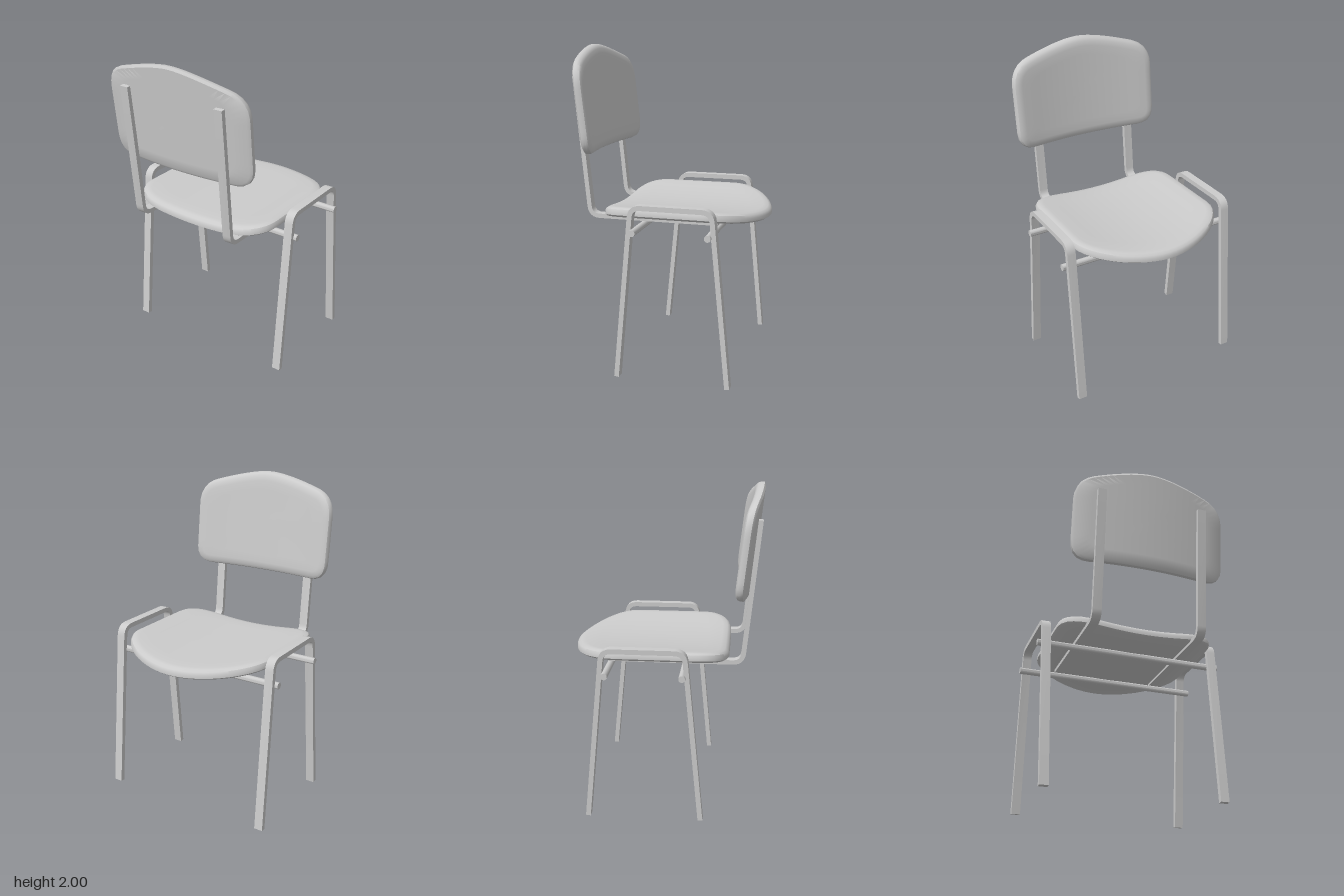
import * as THREE from 'three';
import { toCreasedNormals } from 'three/addons/utils/BufferGeometryUtils.js';

const material = new THREE.MeshStandardMaterial({ color: 0xcccccc });

function addMesh(parent, geometry, name) {
  const mesh = new THREE.Mesh(geometry, material);
  mesh.name = name;
  parent.add(mesh);
  return mesh;
}

// Cushion-like panel: a counterclockwise outline swept through [inset, height]
// rings and closed by shrinking rings, then bent by place(u, v, h).
const PROFILE = [[0.015, 0], [0, 0.01], [0, 0.03], [0.008, 0.047], [0.025, 0.058], [0.055, 0.062]];
const SHRINK = [0.8, 0.6, 0.4, 0.2, 0];

function panelGeometry(shape, place) {
  const outline = shape.getSpacedPoints(72).slice(0, -1);
  const n = outline.length;
  const box = new THREE.Box2().setFromPoints(outline);
  const centre = box.getCenter(new THREE.Vector2());

  const inset = (d) => outline.map((p, i) => {
    const t = outline[(i + 1) % n].clone().sub(outline[(i + n - 1) % n]).normalize();
    return new THREE.Vector2(p.x - t.y * d, p.y + t.x * d);
  });
  const shrink = (ring, s) => ring.map((p) => p.clone().sub(centre).multiplyScalar(s).add(centre));

  const rings = PROFILE.map(([d, h]) => ({ pts: inset(d), h }));
  const bottom = rings[0], top = rings[rings.length - 1];
  const all = [
    ...SHRINK.slice().reverse().map((s) => ({ pts: shrink(bottom.pts, s), h: bottom.h })),
    ...rings,
    ...SHRINK.map((s) => ({ pts: shrink(top.pts, s), h: top.h })),
  ];

  const positions = [], index = [];
  all.forEach(({ pts, h }) => pts.forEach((p) => positions.push(...place(p.x, p.y, h))));
  for (let r = 0; r < all.length - 1; r++) {
    for (let j = 0; j < n; j++) {
      const a = r * n + j, b = r * n + (j + 1) % n;
      if (r < all.length - 2) index.push(a, a + n, b + n);
      if (r > 0) index.push(a, b + n, b);
    }
  }
  const g = new THREE.BufferGeometry();
  g.setAttribute('position', new THREE.Float32BufferAttribute(positions, 3));
  g.setIndex(index);
  return toCreasedNormals(g, 0.6);
}

// Flat bar bent along a path in the x-y plane, with rounded corners.
function barGeometry(corners, radius, thickness, width) {
  const pts = corners.map(([x, y]) => new THREE.Vector2(x, y));
  const line = [pts[0]];
  for (let i = 1; i < pts.length - 1; i++) {
    const towards = (q) => pts[i].clone().add(q.clone().sub(pts[i]).setLength(radius));
    const bend = new THREE.QuadraticBezierCurve(towards(pts[i - 1]), pts[i], towards(pts[i + 1]));
    line.push(...bend.getPoints(6));
  }
  line.push(pts[pts.length - 1]);

  const side = (d) => line.map((p, i) => {
    const t = line[Math.min(i + 1, line.length - 1)].clone().sub(line[Math.max(i - 1, 0)]).normalize();
    return new THREE.Vector2(p.x - t.y * d, p.y + t.x * d);
  });
  const shape = new THREE.Shape([...side(thickness / 2), ...side(-thickness / 2).reverse()]);
  const g = new THREE.ExtrudeGeometry(shape, { depth: width, bevelEnabled: false });
  g.translate(0, 0, -width / 2);
  return toCreasedNormals(g, 0.6);
}

export function createModel() {
  const chair = new THREE.Group();
  chair.name = 'chair';

  // Seat: rounded front, dished across its width
  const seat = new THREE.Shape();
  seat.moveTo(0.25, -0.5);
  seat.bezierCurveTo(0.45, -0.5, 0.59, -0.2, 0.59, 0);
  seat.bezierCurveTo(0.59, 0.2, 0.45, 0.5, 0.25, 0.5);
  seat.lineTo(-0.2, 0.5);
  seat.quadraticCurveTo(-0.395, 0.5, -0.4, 0.25);
  seat.lineTo(-0.4, -0.25);
  seat.quadraticCurveTo(-0.395, -0.5, -0.2, -0.5);
  seat.lineTo(0.25, -0.5);
  addMesh(chair, panelGeometry(seat, (x, z, h) => [x, 0.94 + 0.22 * z * z + h, z]), 'seat');

  // Backrest: domed top, leaning back and bowed around the sitter
  const back = new THREE.Shape();
  back.moveTo(-0.38, 1.35);
  back.lineTo(0.38, 1.35);
  back.quadraticCurveTo(0.5, 1.35, 0.5, 1.47);
  back.lineTo(0.5, 1.76);
  back.quadraticCurveTo(0.5, 1.89, 0.38, 1.925);
  back.quadraticCurveTo(0.12, 2, 0, 2);
  back.quadraticCurveTo(-0.12, 2, -0.38, 1.925);
  back.quadraticCurveTo(-0.5, 1.89, -0.5, 1.76);
  back.lineTo(-0.5, 1.47);
  back.quadraticCurveTo(-0.5, 1.35, -0.38, 1.35);
  addMesh(chair, panelGeometry(back, (z, y, h) =>
    [-0.525 - 0.11 * (y - 1.35) + 0.2 * z * z + h, y, z]), 'backrest');

  // Side leg frames and the bent bars that carry the backrest
  const legs = barGeometry([[-0.25, 0.002], [-0.148, 1.075], [0.342, 1.075], [0.445, 0.002]], 0.06, 0.03, 0.055);
  const support = barGeometry([[-0.568, 1.82], [-0.483, 0.96], [0.33, 0.96]], 0.06, 0.028, 0.056);
  for (const s of [1, -1]) {
    const name = s > 0 ? 'Front' : 'Back';
    addMesh(chair, legs, 'legFrame' + name).position.z = 0.552 * s;
    addMesh(chair, support, 'backSupport' + name).position.z = 0.336 * s;
  }

  // Cross bars under the seat
  const rod = toCreasedNormals(new THREE.CylinderGeometry(0.021, 0.021, 1.2, 10).rotateX(Math.PI / 2), 0.7);
  for (const x of [-0.135, 0.325]) addMesh(chair, rod, 'crossBar').position.set(x, 0.925, 0);

  return chair;
}
